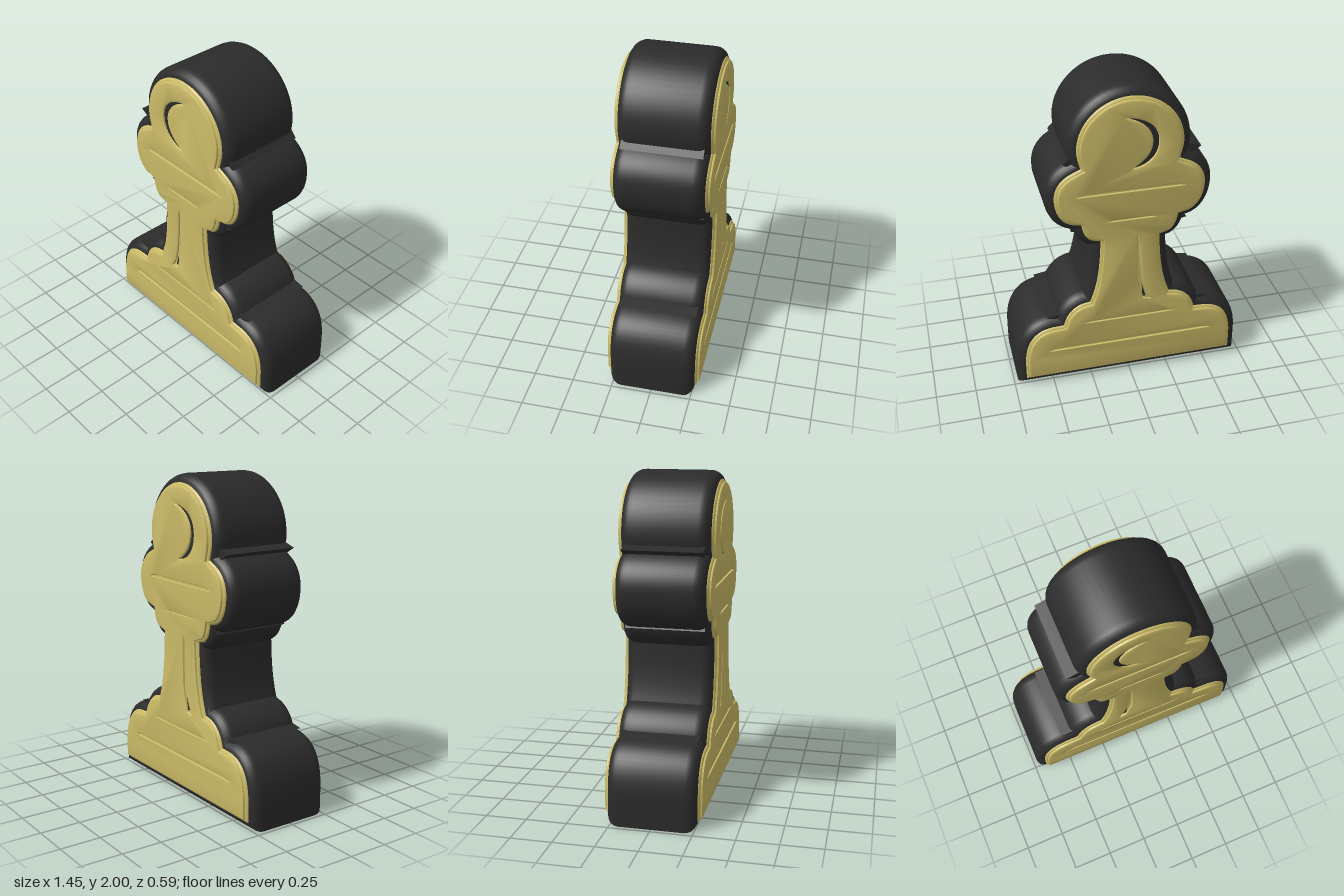
import * as THREE from 'three';
import { toCreasedNormals } from 'three/addons/utils/BufferGeometryUtils.js';

const V = (x, y) => new THREE.Vector2(x, y);

// Symmetric chess-pawn outline, anticlockwise from the lower right corner
function pawnOutline() {
  const p = new THREE.Path();
  p.moveTo(0.725, 0);
  p.lineTo(0.725, 0.16);
  p.bezierCurveTo(0.725, 0.36, 0.64, 0.48, 0.46, 0.48);   // foot
  p.bezierCurveTo(0.44, 0.55, 0.37, 0.62, 0.29, 0.63);    // step
  p.bezierCurveTo(0.25, 0.74, 0.24, 0.86, 0.235, 0.98);   // stem
  p.bezierCurveTo(0.29, 0.99, 0.33, 1.05, 0.34, 1.105);   // lower collar
  p.bezierCurveTo(0.45, 1.12, 0.505, 1.23, 0.505, 1.34);  // upper collar
  p.bezierCurveTo(0.505, 1.45, 0.44, 1.52, 0.355, 1.555);
  p.quadraticCurveTo(0.367, 1.6, 0.367, 1.64);            // head
  p.bezierCurveTo(0.367, 1.84, 0.2, 2, 0, 2);
  const right = p.getPoints(14);
  const left = right.slice(0, -1).reverse().map((q) => V(-q.x, q.y));
  return [...right, ...left];
}

// Move a closed outline inwards by d, with mitred corners
function inset(pts, d) {
  const n = pts.length;
  return pts.map((p, i) => {
    const a = p.clone().sub(pts[(i + n - 1) % n]).normalize();
    const b = pts[(i + 1) % n].clone().sub(p).normalize();
    const na = V(-a.y, a.x), nb = V(-b.y, b.x);
    const k = d / Math.max(0.4, 1 + na.dot(nb));
    return p.clone().addScaledVector(na.add(nb), k);
  });
}

// Slab centred on z = 0 reaching +-half, its edges rounded inside the outline
function slab(name, pts, half, size, thick, material, holes = [], segments = 5) {
  const shape = new THREE.Shape(pts);
  shape.holes = holes.map((h) => new THREE.Path(h));
  const depth = 2 * (half - thick);
  const geo = new THREE.ExtrudeGeometry(shape, {
    depth, bevelEnabled: size > 0, bevelSize: size, bevelOffset: -size,
    bevelThickness: thick, bevelSegments: segments,
  });
  geo.translate(0, 0, -depth / 2);
  const mesh = new THREE.Mesh(toCreasedNormals(geo, 0.6), material);
  mesh.name = name;
  return mesh;
}

export function createModel() {
  const group = new THREE.Group();
  group.name = 'pawn';
  const dark = new THREE.MeshStandardMaterial({ color: 0x2b2b2b });
  dark.name = 'charcoal';
  const gold = new THREE.MeshStandardMaterial({ color: 0xcbbb68 });
  gold.name = 'pale gold';

  const outline = pawnOutline();

  // Crescent highlight on the head
  const c = new THREE.Path();
  c.moveTo(0.03, 1.822);
  c.bezierCurveTo(-0.08, 1.81, -0.162, 1.76, -0.162, 1.66);
  c.bezierCurveTo(-0.162, 1.57, -0.1, 1.51, -0.01, 1.5);
  c.bezierCurveTo(-0.09, 1.54, -0.128, 1.6, -0.128, 1.66);
  c.bezierCurveTo(-0.128, 1.74, -0.06, 1.8, 0.03, 1.822);
  const crescent = c.getPoints(10).slice(0, -1);

  // Tapered line on the stem
  const stemLine = [
    V(-0.052, 1.03), V(-0.044, 1.03), V(-0.044, 0.72), V(-0.082, 0.57),
    V(-0.125, 0.56), V(-0.095, 0.62), V(-0.072, 0.72), V(-0.058, 0.86),
  ];

  // Horizontal lines: [half width, bottom, top], narrowing upwards
  const bars = [
    [0.32, 1.352, 1.364], [0.145, 1.16, 1.165], [0.29, 0.438, 0.443], [0.52, 0.257, 0.269],
  ].map(([w, y0, y1]) => [V(-w, y0), V(w, y0), V(w - 0.05, y1), V(0.05 - w, y1)]);

  // Dark body, gold rounded rim, and gold panel with engraved lines on both faces
  group.add(
    slab('body', outline, 0.268, 0.06, 0.07, dark),
    slab('faceRim', inset(outline, 0.05), 0.28, 0.022, 0.02, gold),
    slab('facePanel', inset(outline, 0.068), 0.293, 0.011, 0.012, gold, [crescent, stemLine, ...bars], 2),
  );

  // Dark floors of the deepest engravings
  group.add(
    slab('crescentFloor', crescent, 0.2812, 0, 0, dark),
    slab('stemLineFloor', [V(-0.098, 0.58), V(-0.078, 0.58), V(-0.072, 0.67)], 0.2812, 0, 0, dark),
  );

  // Small pointed fins at the inner corners of the outline
  const fins = [
    [[0.34, 1.52], [0.39, 1.548], [0.34, 1.6]],
    [[0.42, 0.45], [0.525, 0.482], [0.42, 0.5]],
    [[0.28, 1.08], [0.355, 1.098], [0.33, 1.14]],
  ];
  for (const side of [1, -1]) {
    fins.forEach((f, i) => {
      const pts = f.map(([x, y]) => V(side * x, y));
      if (side < 0 && i === 0) pts[1].set(-0.43, 1.572);
      group.add(slab('cornerFin', pts, 0.24, 0, 0, dark));
    });
  }
  return group;
}
